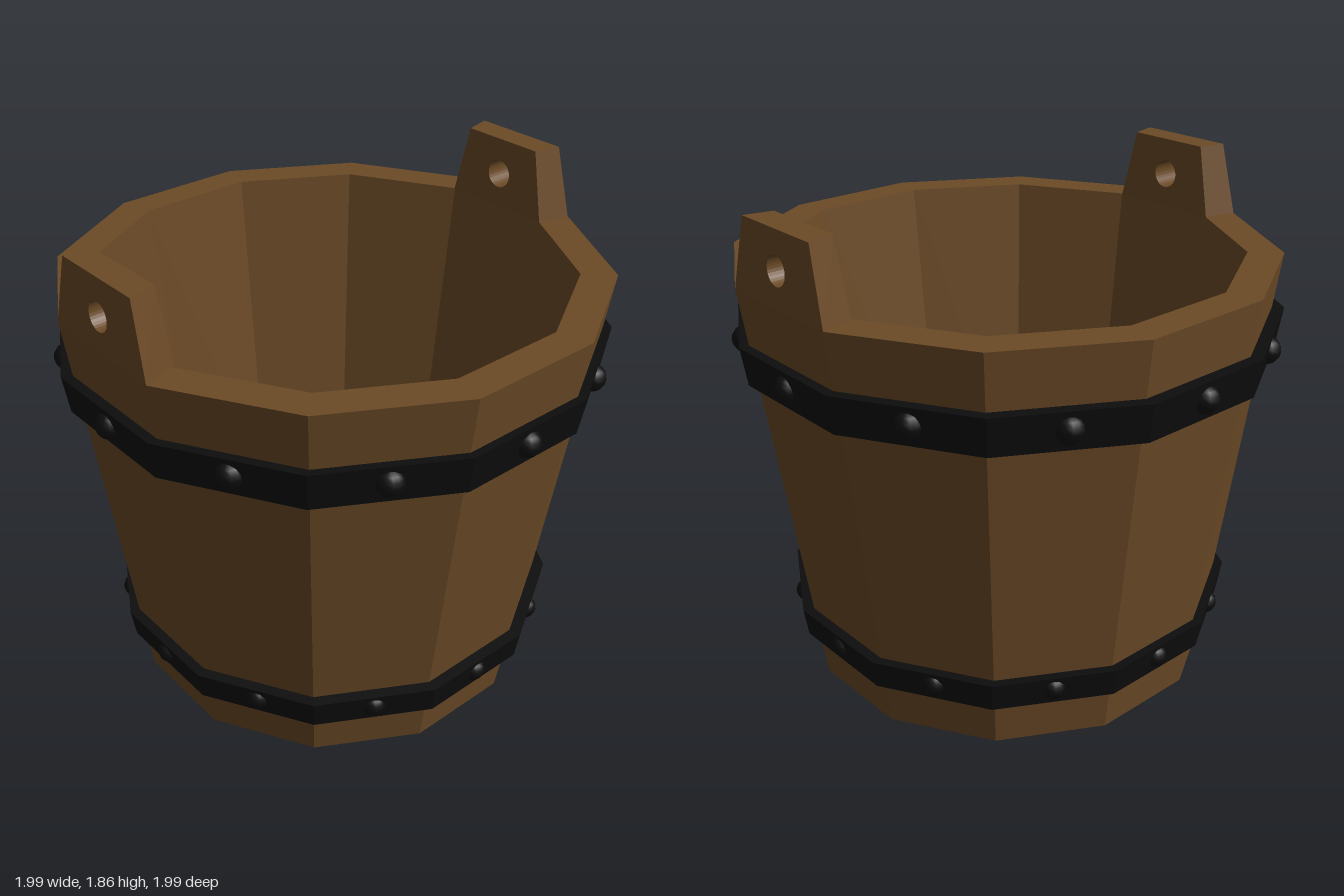
import * as THREE from 'three';

const SIDES = 12;
const wood = new THREE.MeshStandardMaterial({ color: 0x6b4a26, flatShading: true });
const iron = new THREE.MeshStandardMaterial({ color: 0x0d0d0d, flatShading: true });
const ironSmooth = new THREE.MeshStandardMaterial({ color: 0x0d0d0d });

// Move every vertex of a geometry by a rule
function warp(geometry, rule) {
  const p = geometry.attributes.position;
  const v = new THREE.Vector3();
  for (let i = 0; i < p.count; i++) {
    rule(v.fromBufferAttribute(p, i));
    p.setXYZ(i, v.x, v.y, v.z);
  }
  geometry.computeVertexNormals();
  return geometry;
}

// Twelve-sided ring from [apothem, height] pairs, flat faces on the axes
function facetedLathe(profile) {
  const toCorner = 1 / Math.cos(Math.PI / SIDES);
  const points = profile.map(([r, y]) => new THREE.Vector2(r * toCorner, y));
  return new THREE.LatheGeometry(points, SIDES, Math.PI / SIDES);
}

function named(name, geometry, material) {
  const mesh = new THREE.Mesh(geometry, material);
  mesh.name = name;
  return mesh;
}

// Tapered tub with thick walls, a raised floor and a slightly uneven base
function createTub() {
  const geometry = facetedLathe([
    [0, 0], [0.75, 0], [0.955, 1.6], [0.83, 1.6], [0.655, 0.24], [0, 0.24],
  ]);
  warp(geometry, (v) => {
    v.x += 0.0125 * v.y - 0.01;
    if (v.y < 0.1) v.y = 0.015 - 0.02 * v.x;
  });
  return named('tub', geometry, wood);
}

// Ear with a rope hole, narrowing upward and toward the inside
function createEar(name, angle) {
  const shape = new THREE.Shape([
    new THREE.Vector2(-0.256, 1.6), new THREE.Vector2(0.256, 1.6),
    new THREE.Vector2(0.19, 1.86), new THREE.Vector2(-0.19, 1.86),
  ]);
  const hole = new THREE.Path();
  hole.absarc(0, 1.725, 0.052, 0, Math.PI * 2, true);
  shape.holes.push(hole);
  const geometry = new THREE.ExtrudeGeometry(shape, { depth: 1, bevelEnabled: false, curveSegments: 16 });
  warp(geometry, (v) => {
    const t = (v.y - 1.6) / 0.26;
    if (Math.abs(v.x) > 0.1) v.x *= 0.87 + 0.13 * v.z;
    v.z = THREE.MathUtils.lerp(0.83 + 0.01 * t, 0.955 - 0.012 * t, v.z);
  });
  geometry.rotateY(angle);
  const ear = named(name, geometry, wood);
  ear.position.x = 0.008;
  return ear;
}

// Iron hoop with one domed rivet in the middle of each face
function createHoop(name, { bottom, top, rBottom, rTop, rivetY, rivetAt, rivetR, tilt }) {
  const hoop = new THREE.Group();
  hoop.name = name;
  const band = facetedLathe([
    [rBottom - 0.07, bottom], [rBottom, bottom], [rTop, top], [rTop - 0.07, top], [rBottom - 0.07, bottom],
  ]);
  warp(band, (v) => { v.y -= tilt * v.x; });
  hoop.add(named('band', band, iron));
  const rivet = new THREE.SphereGeometry(rivetR, 12, 8);
  for (let i = 0; i < SIDES; i++) {
    const a = (i / SIDES) * Math.PI * 2;
    const mesh = named('rivet', rivet, ironSmooth);
    mesh.position.set(Math.sin(a) * rivetAt, rivetY - tilt * Math.sin(a) * rivetAt, Math.cos(a) * rivetAt);
    hoop.add(mesh);
  }
  return hoop;
}

export function createModel() {
  const bucket = new THREE.Group();
  bucket.name = 'bucket';
  bucket.add(
    createTub(),
    createEar('frontEar', 0),
    createEar('backEar', Math.PI),
    createHoop('upperHoop', {
      bottom: 1.255, top: 1.395, rBottom: 0.945, rTop: 0.965,
      rivetY: 1.328, rivetAt: 0.945, rivetR: 0.05, tilt: 0.003,
    }),
    createHoop('lowerHoop', {
      bottom: 0.2, top: 0.31, rBottom: 0.81, rTop: 0.826,
      rivetY: 0.26, rivetAt: 0.8, rivetR: 0.044, tilt: 0.01,
    }),
  );
  return bucket;
}
